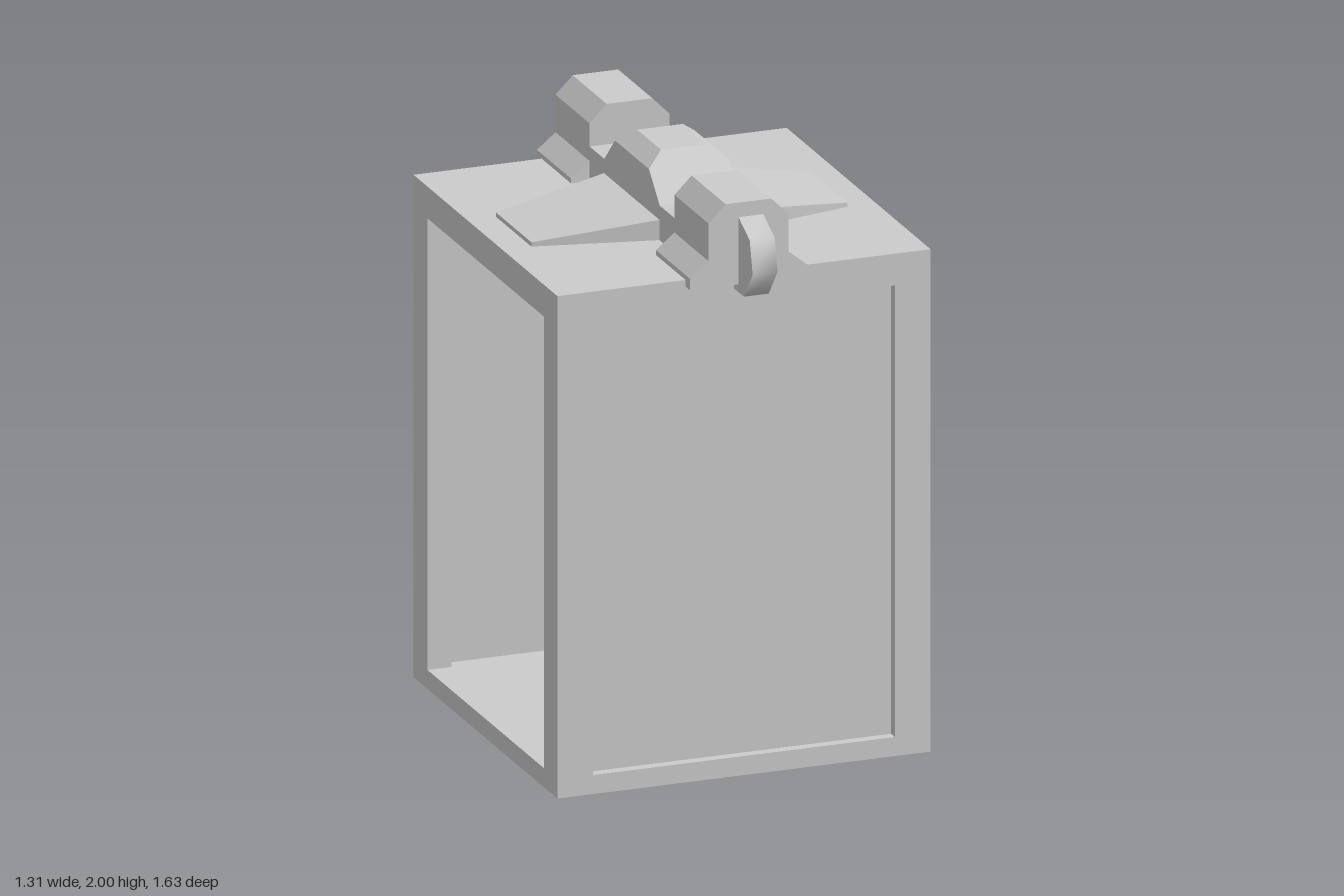
import * as THREE from 'three';
import { toCreasedNormals } from 'three/addons/utils/BufferGeometryUtils.js';

const mat = new THREE.MeshStandardMaterial({ color: 0xcccccc });

function outline(points, Type = THREE.Shape) {
  return new Type(points.map(([x, y]) => new THREE.Vector2(x, y)));
}
const rect = (x0, x1, y0, y1) => [[x0, y0], [x1, y0], [x1, y1], [x0, y1]];

function extrude(points, depth, hole) {
  const shape = outline(points);
  if (hole) shape.holes.push(outline(hole, THREE.Path));
  return new THREE.ExtrudeGeometry(shape, { depth, bevelEnabled: false });
}

// Profile of [z, y] points, extruded from x0 to x1 (reversed to stay counter-clockwise)
function extrudeX(points, x0, x1, hole) {
  const flip = (list) => list.map(([z, y]) => [-z, y]).reverse();
  return extrude(flip(points), x1 - x0, hole && flip(hole))
    .rotateY(Math.PI / 2).translate(x0, 0, 0);
}

// Move vertices by a rule and refresh the flat normals
function reshape(geometry, rule) {
  const p = geometry.attributes.position;
  const v = new THREE.Vector3();
  for (let i = 0; i < p.count; i++) {
    v.fromBufferAttribute(p, i);
    rule(v);
    p.setXYZ(i, v.x, v.y, v.z);
  }
  geometry.computeVertexNormals();
  return geometry;
}

export function createModel() {
  const model = new THREE.Group();
  const add = (name, geometry) => {
    const mesh = new THREE.Mesh(geometry, mat);
    mesh.name = name;
    model.add(mesh);
  };
  const box = (name, x0, x1, y0, y1, z0, z1) => add(name,
    new THREE.BoxGeometry(x1 - x0, y1 - y0, z1 - z0)
      .translate((x0 + x1) / 2, (y0 + y1) / 2, (z0 + z1) / 2));

  // Housing: open on both sides
  const W = 0.655, I = 0.57, H = 1.74, back = -0.663, front = 0.645, sill = 0.066;
  for (const [name, x0, x1] of [['leftFrame', I, W], ['rightFrame', -W, -I]]) {
    add(name, extrudeX(rect(back, front, 0, H), x0, x1, rect(-0.535, 0.523, sill, 1.63)));
  }
  box('floor', -I, I, 0, sill, back, front);
  box('roof', -I, I, 1.69, H, back, front);

  // Front and back walls: recessed panel, outer rim, inner rail under the roof
  box('frontPanel', -I, I, sill, 1.69, 0.57, 0.61);
  box('backPanel', -I, I, sill, 1.69, -0.645, -0.58);
  box('frontRail', -I, I, 1.63, 1.69, 0.523, 0.57);
  box('backRail', -I, I, 1.63, 1.69, -0.58, -0.535);
  const rim = (depth) => extrude(rect(-I, I, sill, 1.69), depth, rect(-0.53, 0.53, sill, 1.63));
  add('frontRim', rim(0.035).translate(0, 0, 0.61));
  add('backRim', rim(0.018).translate(0, 0, back));

  // Handle bar with a chamfered hump, its ends sloping in toward the top
  box('handleBar', -0.14, 0.14, H, 1.86, -0.4, 0.38);
  const hump = [[-0.14, 1.86], [0.14, 1.86], [0.14, 1.955], [0.08, 2], [-0.08, 2], [-0.14, 1.955]];
  add('handleHump', reshape(extrude(hump, 1), (v) => {
    const half = 0.252 - 0.144 * (v.y - 1.86) / 0.14;
    v.z = -0.01 + (v.z * 2 - 1) * half;
  }));

  // Tapered wings on the roof
  for (const [name, s] of [['leftWing', 1], ['rightWing', -1]]) {
    const plan = [[0.14, -0.24], [0.555, -0.15], [0.555, 0.17], [0.14, 0.265]];
    const wing = extrude(plan.map(([x, y]) => [s * x, y]), 1).rotateX(-Math.PI / 2);
    add(name, reshape(wing, (v) => {
      const top = 1.81 - 0.055 * (Math.abs(v.x) - 0.14) / 0.415;
      v.y = v.y > 0.5 ? top : H - 0.005;
    }));
  }

  // Flared end blocks, each with a rounded catch hanging over the edge
  const half = [[0.205, 1.717], [0.205, 1.757], [0.14, 1.81], [0.14, 1.94], [0.08, 2]];
  const block = [...half, ...half.map(([x, y]) => [-x, y]).reverse()];
  const hook = [[0.64, 1.69], [0.735, 1.69], [0.815, 1.79], [0.788, 1.902], [0.685, 1.95], [0.64, 1.95]];
  for (const [name, s, z0] of [['front', 1, 0.376], ['back', -1, -0.705]]) {
    add(name + 'Block', extrude(block, 0.31).translate(0, 0, z0));
    const profile = hook.map(([z, y]) => [s * z, y]);
    add(name + 'Catch', toCreasedNormals(extrudeX(profile, -0.035, 0.052), 1.1));
  }

  return model;
}
